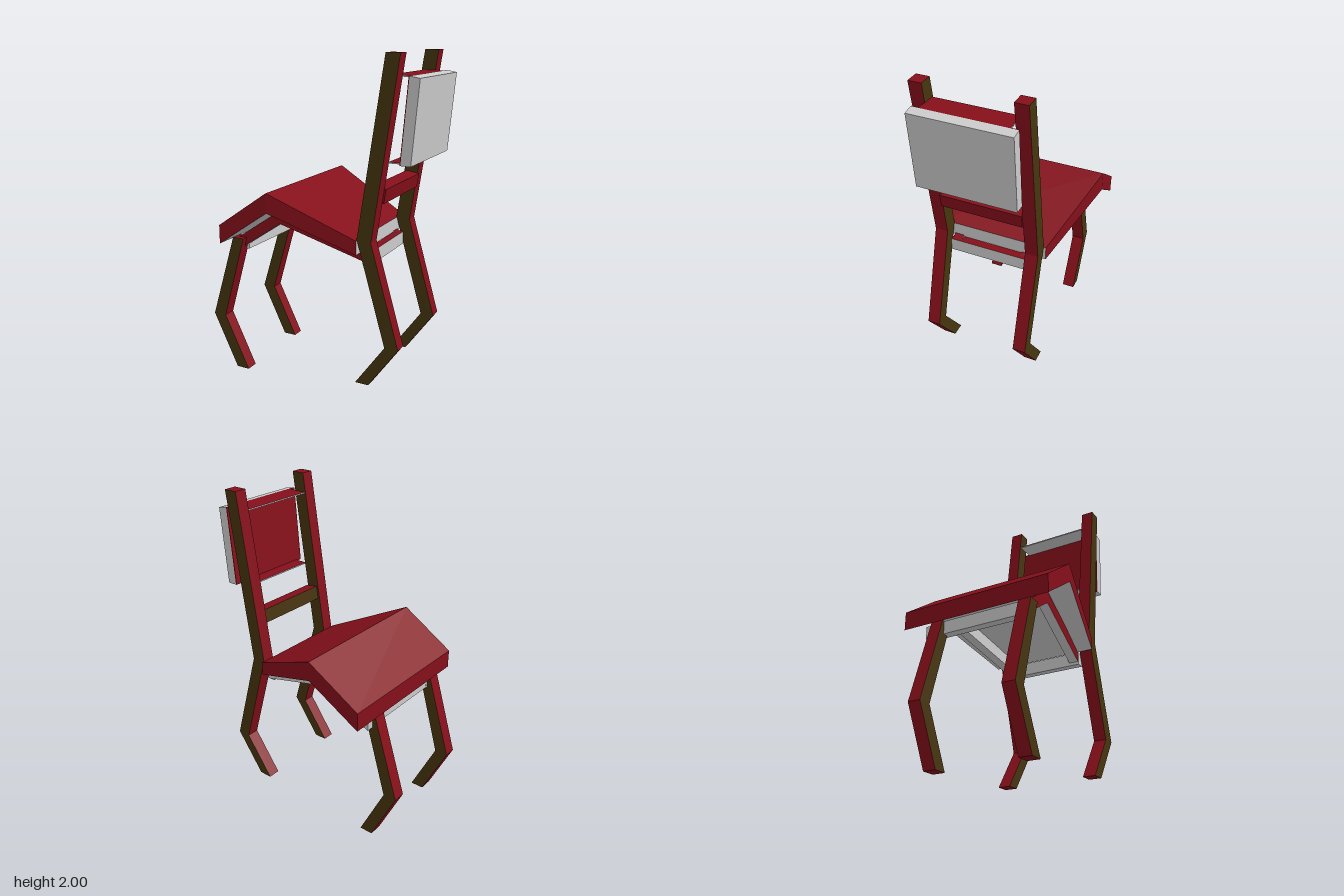
import * as THREE from 'three';

const red = new THREE.MeshStandardMaterial({ color: 0x850f1a });
const brown = new THREE.MeshStandardMaterial({ color: 0x46340f });
const grey = new THREE.MeshStandardMaterial({ color: 0xcccccc });

// side outline (x, y) extruded from z0 to z1; materials are [faces toward z, edge faces]
function profile(name, points, z0, z1, materials) {
  const shape = new THREE.Shape(points.map(([x, y]) => new THREE.Vector2(x, y)));
  const geometry = new THREE.ExtrudeGeometry(shape, { depth: z1 - z0, bevelEnabled: false });
  geometry.translate(0, 0, z0);
  const mesh = new THREE.Mesh(geometry, materials);
  mesh.name = name;
  return mesh;
}

// four-cornered sections [x, yTop, yBottom, zMin, zMax] joined along x
// materials are [top, +z side, -z side, underside, front end, back end]
function loft(name, sections, materials) {
  const positions = [];
  const geometry = new THREE.BufferGeometry();
  const quad = (a, b, c, d, material) => {
    geometry.addGroup(positions.length / 3, 6, material);
    positions.push(...a, ...b, ...c, ...a, ...c, ...d);
  };
  const rings = sections.map(([x, t, b, n, p]) => [[x, t, n], [x, t, p], [x, b, p], [x, b, n]]);
  const sideMaterial = [0, 1, 3, 2];
  for (let i = 0; i < rings.length - 1; i++) {
    for (let k = 0; k < 4; k++) {
      const n = (k + 1) % 4;
      quad(rings[i][k], rings[i][n], rings[i + 1][n], rings[i + 1][k], sideMaterial[k]);
    }
  }
  const first = rings[0], last = rings[rings.length - 1];
  quad(first[3], first[2], first[1], first[0], 4);
  quad(last[0], last[1], last[2], last[3], 5);
  geometry.setAttribute('position', new THREE.Float32BufferAttribute(positions, 3));
  geometry.computeVertexNormals();
  const mesh = new THREE.Mesh(geometry, materials);
  mesh.name = name;
  return mesh;
}

// box materials are [+x, -x, top, bottom, +z, -z]
function bar(name, size, position, materials) {
  const mesh = new THREE.Mesh(new THREE.BoxGeometry(...size), materials);
  mesh.position.set(...position);
  mesh.name = name;
  return mesh;
}

export function createModel() {
  const chair = new THREE.Group();
  chair.name = 'chair';
  const timber = [brown, red];

  // bent legs and leaning back posts
  const frontLeg = [[-0.505, 0.87], [-0.67, 0.34], [-0.505, 0], [-0.42, 0], [-0.585, 0.34], [-0.43, 0.87]];
  const rearLeg = [[0.325, 0.95], [0.505, 0.33], [0.32, 0.07], [0.405, 0.07], [0.59, 0.33], [0.41, 0.95]];
  const post = [[0.32, 0.95], [0.41, 0.95], [0.565, 2], [0.48, 2]];
  for (const [side, front, rear] of [['left', 0.3, 0.26], ['right', -0.285, -0.325]]) {
    chair.add(profile(side + 'FrontLeg', frontLeg, front, front + 0.08, timber));
    chair.add(profile(side + 'RearLeg', rearLeg, rear, rear + 0.08, timber));
    chair.add(profile(side + 'BackPost', post, rear, rear + 0.08, timber));
  }

  // peaked seat, tapering to the back
  chair.add(loft('seat', [
    [-0.52, 0.975, 0.86, -0.47, 0.495],
    [-0.2, 1.2, 1.08, -0.5, 0.47],
    [0.325, 0.955, 0.87, -0.34, 0.355],
  ], [red, red, red, grey, red, grey]));

  // bent rails under the seat
  chair.add(loft('leftRail', [
    [-0.49, 0.865, 0.785, 0.285, 0.345],
    [-0.2, 1.062, 0.98, 0.26, 0.32],
    [0.37, 0.865, 0.79, 0.19, 0.25],
  ], [red, red, grey, grey, grey, grey]));
  chair.add(loft('rightRail', [
    [-0.49, 0.86, 0.78, -0.33, -0.27],
    [-0.14, 1.045, 0.965, -0.35, -0.29],
    [0.37, 0.86, 0.785, -0.24, -0.18],
  ], [red, grey, grey, grey, grey, grey]));

  // crossbars between the legs and between the posts
  const under = [grey, grey, red, grey, grey, grey];
  chair.add(bar('frontCrossbar', [0.055, 0.08, 0.6], [-0.462, 0.828, 0.01], under));
  chair.add(bar('rearCrossbar', [0.05, 0.08, 0.5], [0.347, 0.827, 0.01], under));
  const slat = bar('backSlat', [0.085, 0.085, 0.51], [0.417, 1.215, 0.01], [red, brown, red, grey, red, red]);
  slat.rotation.z = -0.147;
  chair.add(slat);

  // back cushion with coloured front, held by two thin shelves
  chair.add(profile('backCushion', [[0.565, 1.4], [0.625, 1.4], [0.665, 1.87], [0.605, 1.88]], -0.29, 0.31, [grey, grey]));
  chair.add(profile('backPanel', [[0.56, 1.4], [0.565, 1.4], [0.605, 1.88], [0.6, 1.88]], -0.29, 0.31, [red, red]));
  chair.add(bar('upperShelf', [0.13, 0.008, 0.51], [0.535, 1.876, 0.01], under));
  chair.add(bar('lowerShelf', [0.085, 0.008, 0.51], [0.52, 1.404, 0.01], under));
  return chair;
}
